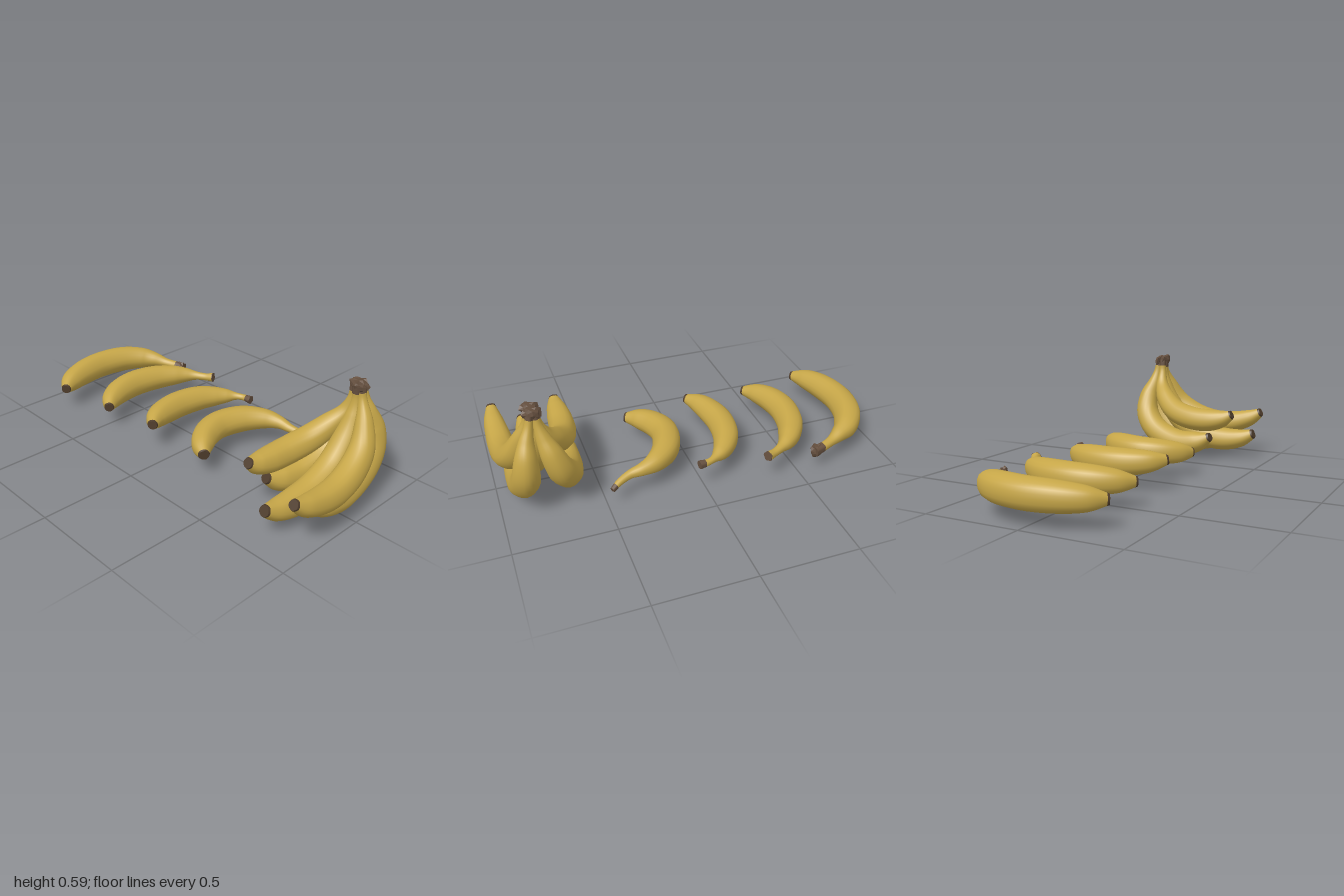
import * as THREE from 'three';

const peel = new THREE.MeshStandardMaterial({ color: 0xc6a648 });
peel.name = 'yellow peel';
const brown = new THREE.MeshStandardMaterial({ color: 0x66503f });
brown.name = 'brown stem';
const dark = new THREE.MeshStandardMaterial({ color: 0x4f3d2c });
dark.name = 'dark blossom end';

const SIDES = 20;

// Sweeps a softly five-ridged section along points [x, y, z, radius], between indices from and to
function sweep(points, ref, from, to, rings, ridge) {
  const last = points.length - 1;
  const path = new THREE.CatmullRomCurve3(points.map(p => new THREE.Vector3(p[0], p[1], p[2])));
  const width = new THREE.CatmullRomCurve3(
    points.map((p, i) => new THREE.Vector3(p[3], i * 0.05, 0)), false, 'catmullrom');
  const pos = [], index = [];
  const addRing = (k) => {
    const t = THREE.MathUtils.clamp(k / last, 0, 1);
    const c = path.getPoint(t), tan = path.getTangent(t), r = width.getPoint(t).x;
    const side = ref.clone().cross(tan).normalize();
    const up = tan.clone().cross(side);
    for (let j = 0; j < SIDES; j++) {
      const a = j / SIDES * Math.PI * 2;
      const q = r * (1 + ridge * Math.cos(5 * a));
      const v = c.clone().addScaledVector(side, q * Math.cos(a)).addScaledVector(up, q * Math.sin(a));
      pos.push(v.x, v.y, v.z);
    }
    return c;
  };
  for (let i = 0; i <= rings; i++) addRing(from + (to - from) * i / rings);
  for (let i = 0; i < rings; i++) {
    for (let j = 0; j < SIDES; j++) {
      const a = i * SIDES + j, b = i * SIDES + (j + 1) % SIDES;
      index.push(a, b, a + SIDES, b, b + SIDES, a + SIDES);
    }
  }
  // flat end caps with their own vertices
  [[from, true], [to, false]].forEach(([k, start]) => {
    const base = pos.length / 3, c = addRing(k);
    pos.push(c.x, c.y, c.z);
    for (let j = 0; j < SIDES; j++) {
      const n = base + (j + 1) % SIDES;
      if (start) index.push(base + SIDES, n, base + j);
      else index.push(base + SIDES, base + j, n);
    }
  });
  const g = new THREE.BufferGeometry();
  g.setAttribute('position', new THREE.Float32BufferAttribute(pos, 3));
  g.setIndex(index);
  g.computeVertexNormals();
  return g;
}

// One banana from stem to blossom end; stem is the index where the brown stops
function banana(name, ref, stem, points) {
  const group = new THREE.Group();
  group.name = name;
  const last = points.length - 1, tip = last - 0.12;
  const part = (label, mat, ...args) => {
    const m = new THREE.Mesh(sweep(points, ref, ...args), mat);
    m.name = label;
    group.add(m);
  };
  part('stemEnd', brown, 0, stem, 6, 0.08);
  part('peel', peel, stem, tip, 56, 0.025);
  part('blossomEnd', dark, tip, last, 2, 0.025);
  return group;
}

// Rough faceted lump of dried stem
function lump(name, mat, x, y, z, sx, sy, sz) {
  const g = new THREE.IcosahedronGeometry(1, 1);
  const p = g.attributes.position;
  for (let i = 0; i < p.count; i++) {
    const a = p.getX(i), b = p.getY(i), c = p.getZ(i);
    const k = 0.95 + 0.2 * Math.sin(7 * a + 11 * b + 5 * c + 40 * x);
    p.setXYZ(i, a * k * sx, b * k * sy, c * k * sz);
  }
  g.computeVertexNormals();
  const m = new THREE.Mesh(g, mat);
  m.name = name;
  m.position.set(x, y, z);
  return m;
}

export function createModel() {
  const model = new THREE.Group();
  model.name = 'bananas';
  const Y = new THREE.Vector3(0, 1, 0), X = new THREE.Vector3(1, 0, 0);

  // four single bananas lying in a row
  const row = new THREE.Group();
  row.name = 'singleBananas';
  row.add(
    banana('singleBanana1', Y, 0.9, [
      [-0.585, 0.11, -0.385, 0.028], [-0.645, 0.115, -0.37, 0.024], [-0.705, 0.12, -0.345, 0.027],
      [-0.765, 0.13, -0.315, 0.042], [-0.83, 0.135, -0.27, 0.061], [-0.895, 0.14, -0.17, 0.073],
      [-0.924, 0.14, -0.02, 0.075], [-0.905, 0.138, 0.13, 0.071], [-0.86, 0.133, 0.25, 0.056],
      [-0.805, 0.128, 0.325, 0.024]]),
    banana('singleBanana2', Y, 0.08, [
      [-0.32, 0.14, -0.382, 0.026], [-0.365, 0.135, -0.36, 0.021], [-0.415, 0.135, -0.332, 0.025],
      [-0.46, 0.135, -0.30, 0.04], [-0.505, 0.135, -0.25, 0.056], [-0.56, 0.135, -0.15, 0.069],
      [-0.586, 0.135, -0.01, 0.073], [-0.57, 0.133, 0.11, 0.069], [-0.525, 0.128, 0.21, 0.054],
      [-0.465, 0.122, 0.275, 0.024]]),
    banana('singleBanana3', Y, 0.65, [
      [0.03, 0.14, -0.332, 0.022], [-0.02, 0.14, -0.325, 0.017], [-0.06, 0.14, -0.305, 0.021],
      [-0.1, 0.138, -0.275, 0.038], [-0.145, 0.137, -0.225, 0.054], [-0.19, 0.138, -0.14, 0.067],
      [-0.211, 0.138, -0.02, 0.071], [-0.2, 0.14, 0.09, 0.068], [-0.165, 0.146, 0.19, 0.054],
      [-0.11, 0.152, 0.262, 0.024]]),
    banana('singleBanana4', Y, 0.5, [
      [0.475, 0.093, -0.318, 0.013], [0.43, 0.11, -0.29, 0.018], [0.37, 0.125, -0.268, 0.023],
      [0.305, 0.135, -0.262, 0.034], [0.23, 0.14, -0.232, 0.052], [0.145, 0.14, -0.145, 0.069],
      [0.103, 0.137, -0.01, 0.072], [0.127, 0.132, 0.1, 0.068], [0.185, 0.126, 0.185, 0.055],
      [0.25, 0.12, 0.235, 0.026]]));
  model.add(row);

  // bunch of five hanging from one crown
  const bunch = new THREE.Group();
  bunch.name = 'bunch';
  bunch.add(
    banana('bunchUpperLeft', X, 0.5, [
      [0.785, 0.56, -0.2, 0.02], [0.78, 0.49, -0.2, 0.022], [0.755, 0.41, -0.19, 0.038],
      [0.705, 0.335, -0.14, 0.056], [0.655, 0.27, -0.05, 0.065], [0.624, 0.24, 0.07, 0.067],
      [0.617, 0.238, 0.18, 0.063], [0.617, 0.253, 0.26, 0.049], [0.617, 0.28, 0.318, 0.024]]),
    banana('bunchUpperRight', X, 0.5, [
      [0.82, 0.56, -0.205, 0.02], [0.832, 0.49, -0.205, 0.022], [0.865, 0.4, -0.185, 0.042],
      [0.9, 0.295, -0.135, 0.06], [0.92, 0.222, -0.04, 0.067], [0.932, 0.184, 0.08, 0.067],
      [0.937, 0.185, 0.2, 0.063], [0.942, 0.215, 0.31, 0.049], [0.94, 0.255, 0.385, 0.024]]),
    banana('bunchMiddle', X, 0.6, [
      [0.803, 0.56, -0.195, 0.022], [0.803, 0.49, -0.2, 0.024], [0.802, 0.41, -0.195, 0.044],
      [0.798, 0.3, -0.155, 0.062], [0.795, 0.185, -0.06, 0.069], [0.793, 0.118, 0.08, 0.07],
      [0.79, 0.102, 0.2, 0.067], [0.788, 0.115, 0.31, 0.052], [0.788, 0.148, 0.392, 0.026]]),
    banana('bunchLowerRight', X, 0.5, [
      [0.81, 0.56, -0.225, 0.02], [0.825, 0.49, -0.235, 0.022], [0.845, 0.42, -0.25, 0.037],
      [0.86, 0.34, -0.272, 0.055], [0.868, 0.24, -0.262, 0.068], [0.874, 0.145, -0.185, 0.073],
      [0.876, 0.077, -0.03, 0.072], [0.878, 0.085, 0.1, 0.059], [0.88, 0.118, 0.183, 0.024]]),
    banana('bunchLowerLeft', X, 0.5, [
      [0.79, 0.56, -0.225, 0.02], [0.782, 0.49, -0.235, 0.022], [0.765, 0.42, -0.25, 0.037],
      [0.738, 0.34, -0.272, 0.055], [0.7, 0.24, -0.262, 0.067], [0.66, 0.15, -0.185, 0.071],
      [0.63, 0.09, -0.03, 0.072], [0.62, 0.102, 0.1, 0.06], [0.612, 0.14, 0.19, 0.024]]),
    lump('crownFront', brown, 0.805, 0.562, -0.192, 0.044, 0.031, 0.026),
    lump('crownBack', brown, 0.8, 0.552, -0.228, 0.046, 0.036, 0.022));
  model.add(bunch);

  // dried cut on the first stem
  row.add(lump('stemCut', brown, -0.6, 0.108, -0.38, 0.03, 0.042, 0.024));
  return model;
}
